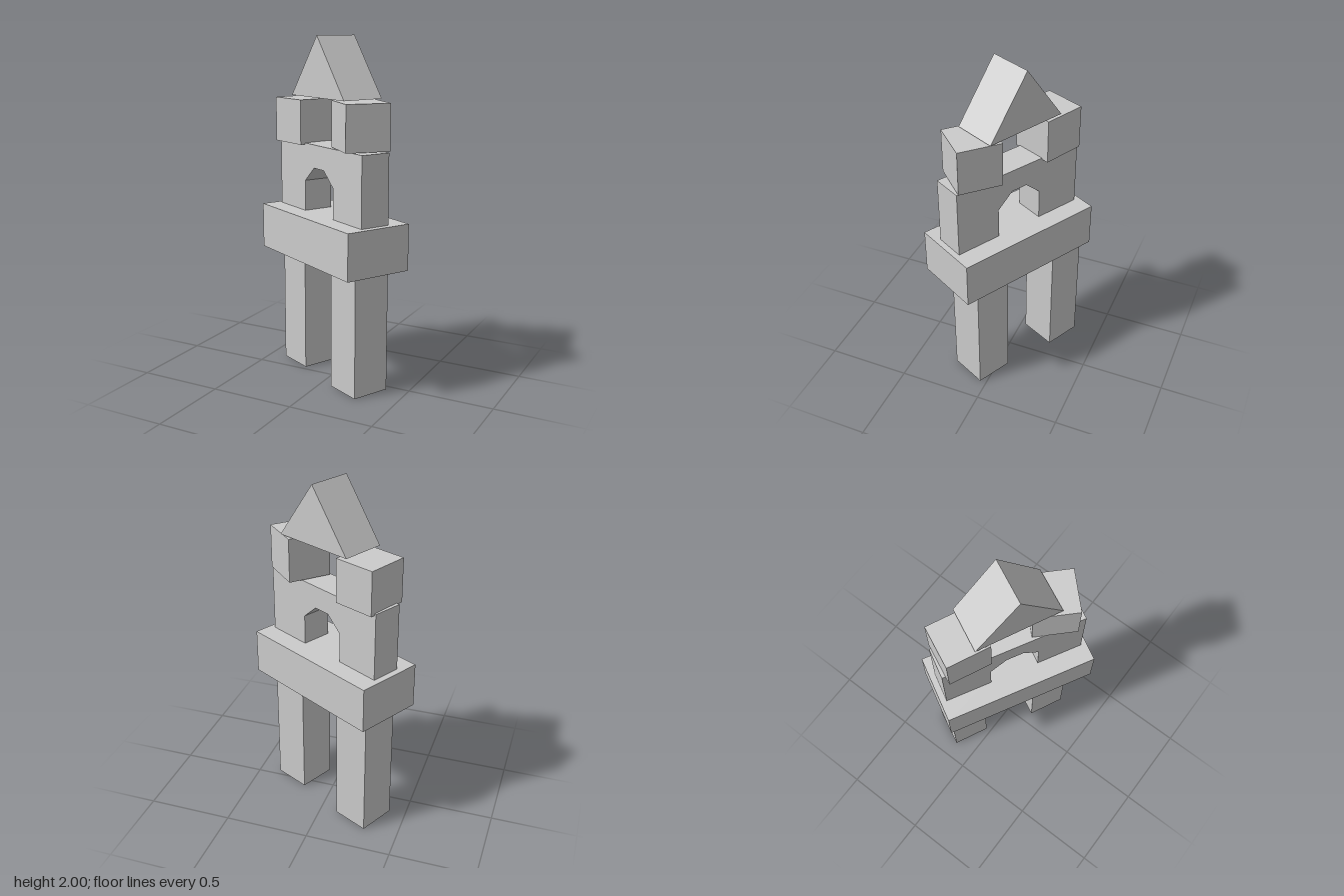
import * as THREE from 'three';

// Toy-block tower: each block is [footprint centre, base height, turn in degrees]
export function createModel() {
  const group = new THREE.Group();
  const material = new THREE.MeshStandardMaterial({ color: 0xcccccc, flatShading: true });

  function place(name, geometry, x, y, z, turn) {
    const mesh = new THREE.Mesh(geometry, material);
    mesh.name = name;
    mesh.position.set(x, y, z);
    mesh.rotation.y = -THREE.MathUtils.degToRad(turn);
    group.add(mesh);
    return mesh;
  }

  // box standing on its base
  const box = (w, h, d) => new THREE.BoxGeometry(w, h, d).translate(0, h / 2, 0);

  // outline in x/y, extruded and centred on z
  const prism = (points, depth) => {
    const shape = new THREE.Shape(points.map(([x, y]) => new THREE.Vector2(x, y)));
    return new THREE.ExtrudeGeometry(shape, { depth, bevelEnabled: false }).translate(0, 0, -depth / 2);
  };

  // two pillars
  place('leftPillar', box(0.225, 0.73, 0.23), 0.222, 0, 0.093, 26);
  place('rightPillar', box(0.225, 0.73, 0.23), -0.25, 0, -0.183, 26);

  // wide slab across the pillars
  place('slab', box(0.91, 0.265, 0.403), 0, 0.73, 0, 28.7);

  // arch block with a faceted opening
  const arch = [
    [-0.42, 0], [-0.145, 0], [-0.145, 0.178], [-0.05, 0.263],
    [0.05, 0.263], [0.145, 0.178], [0.145, 0], [0.42, 0],
    [0.42, 0.396], [-0.42, 0.396],
  ];
  place('archBlock', prism(arch, 0.178), 0, 0.996, 0.002, 28.8);

  // two cubes on top of the arch
  place('leftCube', box(0.25, 0.257, 0.25), 0.235, 1.397, 0.115, 45);
  place('rightCube', box(0.25, 0.256, 0.25), -0.245, 1.383, -0.131, 25);

  // triangular roof block
  place('roof', prism([[-0.248, 0], [0.248, 0], [0, 0.338]], 0.258), 0.017, 1.662, -0.012, 26);

  return group;
}
